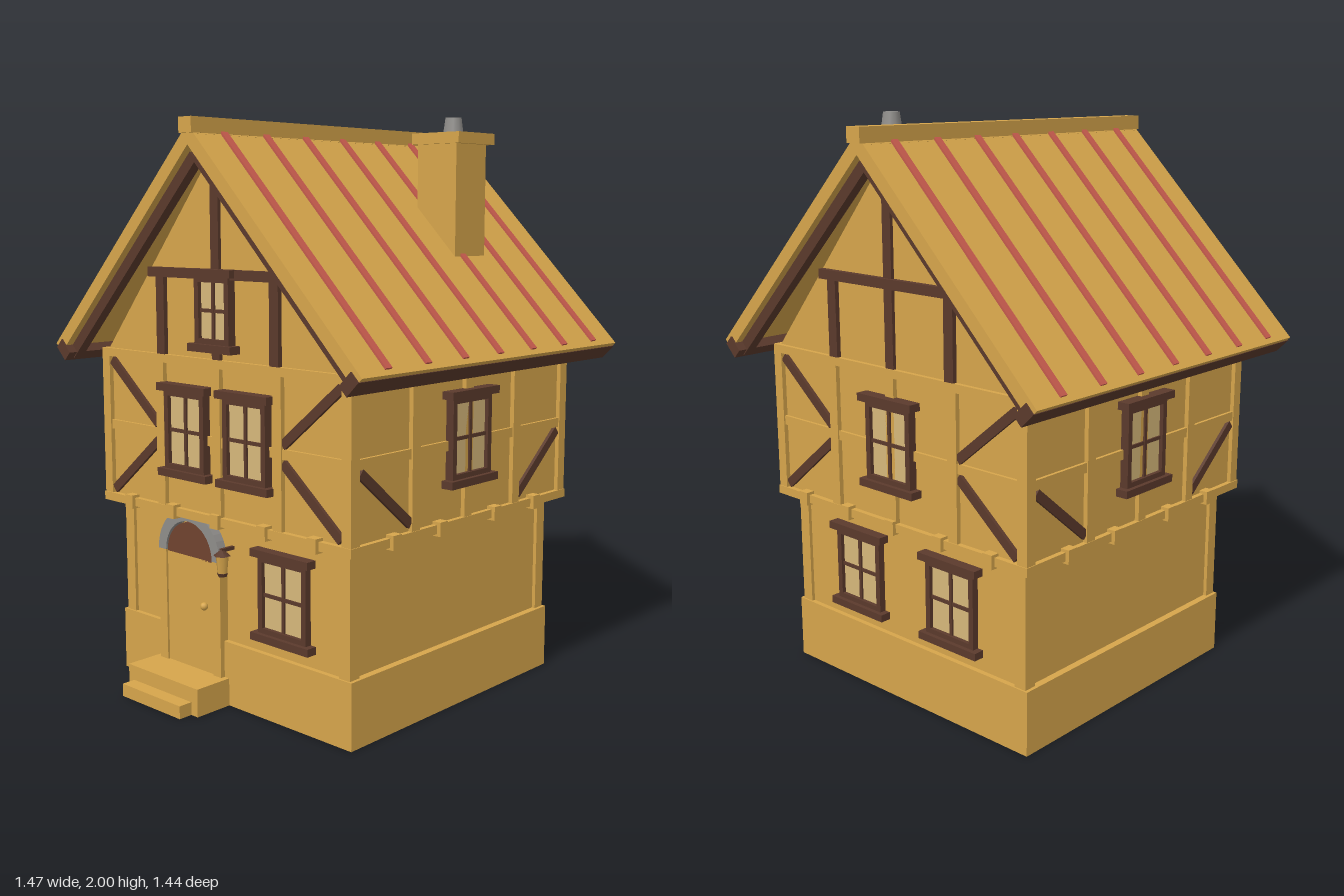
import * as THREE from 'three';

const mat = (name, color) => new THREE.MeshStandardMaterial({ name, color });

export function createModel() {
  const ochre = mat('ochre plaster', 0xd6a54b);
  const timber = mat('dark timber', 0x5b3a2c);
  const glass = mat('window glass', 0xd6b87a);
  const stone = mat('grey stone', 0x8f8d8a);
  const red = mat('red tile', 0xc45a4c);
  const brown = mat('door brown', 0x70432f);

  const house = new THREE.Group();
  house.name = 'house';
  const ZC = -0.012; // centre of the house body in z

  const mesh = (parent, name, geo, m, x = 0, y = 0, z = 0) => {
    const o = new THREE.Mesh(geo, m);
    o.name = name;
    o.position.set(x, y, z);
    parent.add(o);
    return o;
  };
  // box given by its minimum and maximum on each axis
  const box = (parent, name, m, x0, x1, y0, y1, z0, z1) =>
    mesh(parent, name, new THREE.BoxGeometry(x1 - x0, y1 - y0, z1 - z0), m,
      (x0 + x1) / 2, (y0 + y1) / 2, (z0 + z1) / 2);
  // straight beam between two points in a wall's own plane
  const beam = (parent, name, m, x0, y0, x1, y1, w, z0, z1) => {
    const geo = new THREE.BoxGeometry(Math.hypot(x1 - x0, y1 - y0), w, z1 - z0);
    const o = mesh(parent, name, geo, m, (x0 + x1) / 2, (y0 + y1) / 2, (z0 + z1) / 2);
    o.rotation.z = Math.atan2(y1 - y0, x1 - x0);
  };
  // group whose local +z faces out of a wall
  const side = (name, turn) => {
    const g = new THREE.Group();
    g.name = name;
    g.position.z = ZC;
    g.rotation.y = turn;
    house.add(g);
    return g;
  };
  const front = side('frontWall', 0), back = side('backWall', Math.PI);
  const sides = [side('rightSideWall', Math.PI / 2), side('leftSideWall', -Math.PI / 2)];

  // window with frame, cross bars, lintel and sill
  const addWindow = (wall, x, y, z, w, h) => {
    const g = new THREE.Group();
    g.name = 'window';
    g.position.set(x, y, z);
    wall.add(g);
    const a = w / 2, b = h / 2, f = 0.02;
    box(g, 'pane', glass, -a + f, a - f, -b + f, b - f, -0.01, 0.008);
    for (const s of [-1, 1]) {
      box(g, 'frameUpright', timber, s * (a - f / 2) - f / 2, s * (a - f / 2) + f / 2, -b, b, -0.01, 0.022);
      box(g, 'frameRail', timber, -a + f, a - f, s * (b - f / 2) - f / 2, s * (b - f / 2) + f / 2, -0.01, 0.022);
      box(g, s > 0 ? 'lintel' : 'sill', timber, -a - 0.022, a + 0.022,
        s * (b + 0.01) - 0.013, s * (b + 0.01) + 0.013, -0.01, 0.037);
    }
    box(g, 'crossUpright', timber, -0.006, 0.006, -b + f, b - f, 0, 0.015);
    box(g, 'crossRail', timber, -a + f, a - f, -0.006, 0.006, 0, 0.014);
  };

  // ground floor
  box(house, 'plinth', ochre, -0.565, 0.565, 0, 0.225, ZC - 0.54, ZC + 0.54);
  box(house, 'groundWalls', ochre, -0.54, 0.54, 0.22, 0.65, ZC - 0.522, ZC + 0.522);
  for (const sx of [-1, 1]) for (const sz of [-1, 1]) {
    mesh(house, 'groundCornerPost', new THREE.BoxGeometry(0.046, 0.425, 0.046), ochre,
      sx * 0.53, 0.435, ZC + sz * 0.511);
    mesh(house, 'upperCornerPost', new THREE.BoxGeometry(0.04, 0.52, 0.04), ochre,
      sx * 0.582, 0.925, ZC + sz * 0.564);
  }

  // jettied upper floor
  box(house, 'jettyBeam', ochre, -0.605, 0.605, 0.64, 0.67, ZC - 0.587, ZC + 0.587);
  box(house, 'upperWalls', ochre, -0.587, 0.587, 0.66, 1.19, ZC - 0.568, ZC + 0.568);
  box(house, 'wallPlate', ochre, -0.602, 0.602, 1.168, 1.197, ZC - 0.584, ZC + 0.584);

  // timber grid on each upper wall: d is the wall face, c the corner distance
  const frameWall = (wall, d, c, posts, joists) => {
    for (const x of posts) box(wall, 'post', ochre, x - 0.02, x + 0.02, 0.67, 1.17, d - 0.02, d + 0.016);
    box(wall, 'midRail', ochre, -c, c, 0.905, 0.938, d - 0.02, d + 0.011);
    for (const x of joists) box(wall, 'joistEnd', ochre, x - 0.02, x + 0.02, 0.632, 0.68, d - 0.06, d + 0.032);
  };
  for (const w of [front, back]) {
    frameWall(w, 0.568, 0.57, [-0.285, 0, 0.285], [-0.45, -0.225, 0, 0.225, 0.45]);
    for (const s of [-1, 1]) {
      beam(w, 'upperBrace', timber, s * 0.555, 1.155, s * 0.305, 0.95, 0.032, 0.56, 0.58);
      beam(w, 'lowerBrace', timber, s * 0.555, 0.685, s * 0.305, 0.892, 0.032, 0.56, 0.58);
    }
  }
  for (const w of sides) {
    frameWall(w, 0.587, 0.55, [-0.275, 0, 0.275], [-0.385, -0.15, 0.15, 0.385]);
    for (const s of [-1, 1])
      beam(w, 'sideBrace', timber, s * 0.535, 0.895, s * 0.295, 0.695, 0.032, 0.58, 0.599);
    addWindow(w, 0, 0.942, 0.595, 0.21, 0.275);
  }

  // windows
  for (const s of [-1, 1]) {
    addWindow(front, s * 0.147, 0.942, 0.576, 0.2, 0.275);
    addWindow(back, s * 0.225, 0.428, 0.524, 0.22, 0.265);
  }
  addWindow(front, 0.263, 0.428, 0.524, 0.22, 0.265);
  addWindow(front, 0, 1.358, 0.576, 0.165, 0.225);
  addWindow(back, 0, 0.942, 0.576, 0.21, 0.275);

  // gable prism
  const tri = new THREE.Shape([[-0.585, 1.19], [0.585, 1.19], [0, 1.89]].map(p => new THREE.Vector2(...p)));
  mesh(house, 'gable', new THREE.ExtrudeGeometry(tri, { depth: 1.136, bevelEnabled: false }), ochre, 0, 0, ZC - 0.568);
  for (const w of [front, back]) {
    box(w, 'gableTie', timber, -0.33, 0.33, 1.46, 1.493, 0.55, 0.59);
    box(w, 'kingPost', timber, -0.019, 0.019, 1.197, 1.81, 0.55, 0.58);
    for (const s of [-1, 1])
      box(w, 'gablePost', timber, s * 0.275 - 0.02, s * 0.275 + 0.02, 1.197, 1.46, 0.55, 0.584);
  }

  // roof slopes with stripes, bargeboards and eaves boards
  const RZ = -0.015, L = 1.043, PITCH = Math.atan2(0.74, 0.735);
  for (const s of [-1, 1]) {
    const slope = new THREE.Group();
    slope.name = s > 0 ? 'roofSlopeRight' : 'roofSlopeLeft';
    slope.position.set(0, 1.95, RZ);
    slope.rotation.z = -s * PITCH;
    house.add(slope);
    const part = (name, m, u0, u1, y0, y1, z0, z1) =>
      box(slope, name, m, Math.min(s * u0, s * u1), Math.max(s * u0, s * u1), y0, y1, z0, z1);
    part('roofSlab', ochre, 0, L, -0.045, 0, -0.69, 0.69);
    for (let i = -3; i <= 3; i++)
      part('tileStripe', red, 0.03, L - 0.02, -0.002, 0.007, i * 0.1865 - 0.014, i * 0.1865 + 0.014);
    part('eavesBoard', timber, L - 0.04, L + 0.002, -0.08, -0.016, -0.695, 0.695);
    for (const z of [-0.645, 0.645])
      part('bargeboard', timber, 0.075, L - 0.01, -0.083, -0.044, z - 0.018, z + 0.018);
  }
  box(house, 'ridgeCap', ochre, -0.03, 0.03, 1.922, 1.972, -0.718, 0.685);

  // chimney
  box(house, 'chimneyStack', ochre, 0.255, 0.422, 1.45, 1.91, -0.325, -0.157);
  box(house, 'chimneyCap', ochre, 0.237, 0.44, 1.908, 1.946, -0.35, -0.145);
  mesh(house, 'chimneyPot', new THREE.CylinderGeometry(0.029, 0.037, 0.056, 10), stone, 0.338, 1.972, -0.248);

  // steps and arched door
  box(house, 'upperStep', ochre, -0.363, 0.002, 0, 0.097, 0.5, 0.672);
  box(house, 'lowerStep', ochre, -0.335, -0.03, 0, 0.045, 0.6, 0.723);
  const DX = -0.18;
  box(house, 'doorLeaf', ochre, DX - 0.125, DX + 0.125, 0.09, 0.495, 0.48, 0.537);
  for (const s of [-1, 1])
    box(house, 'doorJamb', ochre, DX + s * 0.14 - 0.02, DX + s * 0.14 + 0.02, 0.09, 0.5, 0.48, 0.545);
  const ring = new THREE.Shape();
  ring.absarc(0, 0, 0.16, 0, Math.PI, false);
  ring.absarc(0, 0, 0.12, Math.PI, 0, true);
  mesh(house, 'doorArch', new THREE.ExtrudeGeometry(ring, { depth: 0.05, bevelEnabled: false, curveSegments: 10 }),
    stone, DX, 0.5, 0.495);
  const fan = new THREE.Shape();
  fan.absarc(0, 0, 0.122, 0, Math.PI, false);
  mesh(house, 'doorTympanum', new THREE.ExtrudeGeometry(fan, { depth: 0.04, bevelEnabled: false, curveSegments: 10 }),
    brown, DX, 0.492, 0.497);
  mesh(house, 'doorKnob', new THREE.SphereGeometry(0.014, 10, 8), ochre, -0.1, 0.335, 0.547);

  // wall lantern beside the door
  box(house, 'lanternBracket', timber, 0.004, 0.016, 0.55, 0.562, 0.5, 0.565);
  mesh(house, 'lanternRoof', new THREE.ConeGeometry(0.03, 0.025, 6), timber, 0.01, 0.55, 0.56);
  mesh(house, 'lanternBody', new THREE.CylinderGeometry(0.023, 0.017, 0.062, 6), ochre, 0.01, 0.508, 0.56);
  mesh(house, 'lanternBase', new THREE.CylinderGeometry(0.019, 0.015, 0.012, 6), timber, 0.01, 0.472, 0.56);

  return house;
}
